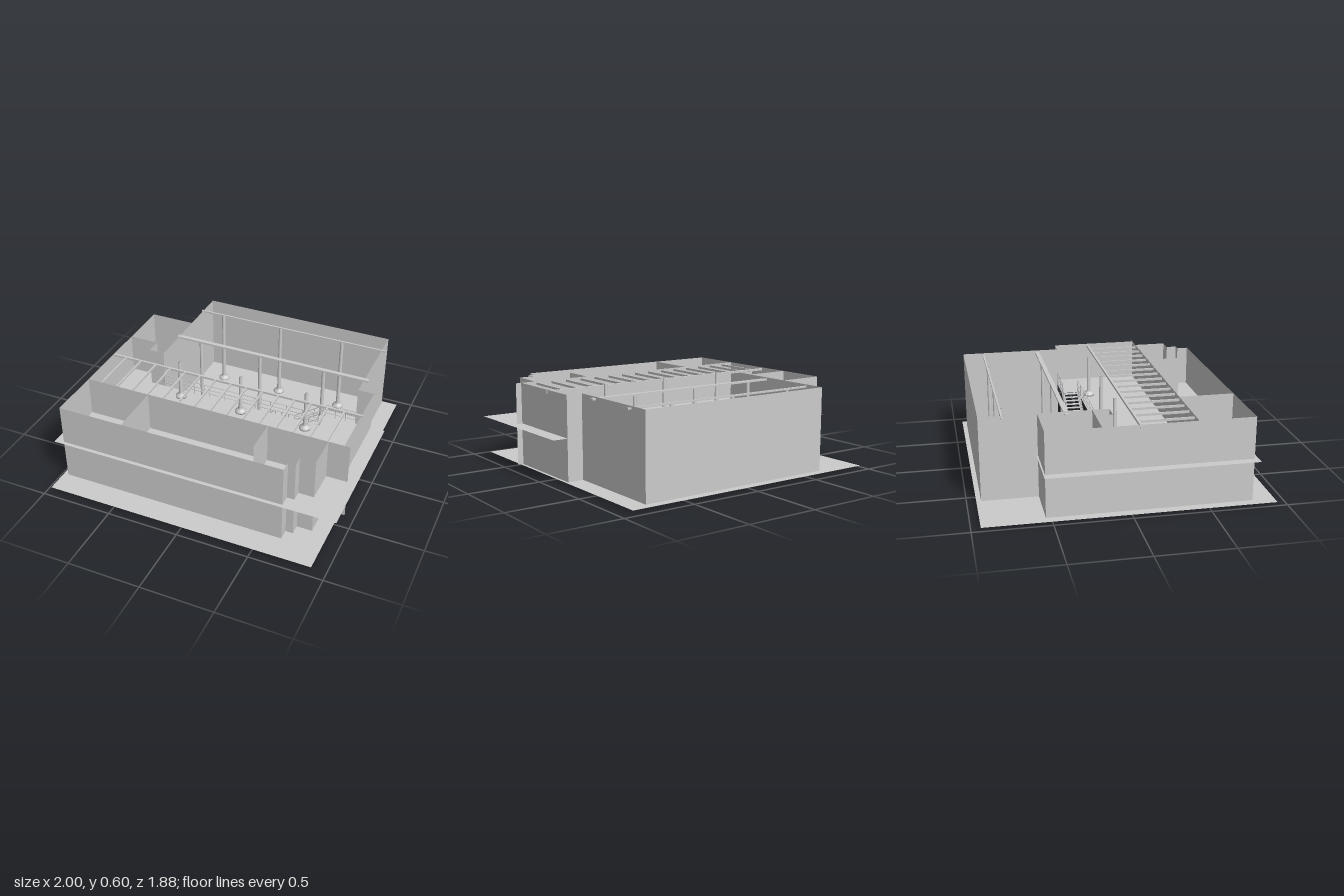
import * as THREE from 'three';

const BASE = 0.015, FLOOR = 0.31, WALL0 = 0.025, WALL1 = 0.59;

export function createModel() {
  const root = new THREE.Group();
  const solid = new THREE.MeshStandardMaterial({ color: 0xcccccc });
  const thin = new THREE.MeshStandardMaterial({ color: 0xcccccc, side: THREE.DoubleSide });

  const group = (name) => {
    const g = new THREE.Group();
    g.name = name;
    root.add(g);
    return g;
  };
  const add = (parent, name, geo, mat = solid) => {
    const m = new THREE.Mesh(geo, mat);
    m.name = name;
    parent.add(m);
    return m;
  };
  const box = (parent, name, w, h, d, x, y, z) =>
    add(parent, name, new THREE.BoxGeometry(w, h, d)).position.set(x, y, z);
  // Flat horizontal sheet from an (x, z) outline
  const sheet = (name, pts, y) => {
    const s = new THREE.Shape(pts.map(([x, z]) => new THREE.Vector2(x, z)));
    const m = add(root, name, new THREE.ShapeGeometry(s), thin);
    m.rotation.x = Math.PI / 2;
    m.position.y = y;
  };
  // Thin upright panels along an (x, z) path
  const walls = (parent, name, path, y0 = WALL0, y1 = WALL1, mat = thin) => {
    for (let i = 0; i + 1 < path.length; i++) {
      const [x1, z1] = path[i], [x2, z2] = path[i + 1];
      const m = add(parent, name, new THREE.PlaneGeometry(Math.hypot(x2 - x1, z2 - z1), y1 - y0), mat);
      m.position.set((x1 + x2) / 2, (y0 + y1) / 2, (z1 + z2) / 2);
      m.rotation.y = -Math.atan2(z2 - z1, x2 - x1);
    }
  };
  // Slim round bar between two points
  const bar = (parent, name, a, b, r = 0.003) => {
    const p = new THREE.Vector3(...a), q = new THREE.Vector3(...b);
    const m = add(parent, name, new THREE.CylinderGeometry(r, r, p.distanceTo(q), 6));
    m.position.copy(p).add(q).multiplyScalar(0.5);
    m.quaternion.setFromUnitVectors(new THREE.Vector3(0, 1, 0), q.sub(p).normalize());
  };

  // Ground and upper floor, the latter cut back around the hall and stair
  sheet('ground', [[-0.98, -0.94], [0.9, -0.94], [0.9, 0.94], [-0.98, 0.94]], BASE);
  sheet('upperFloor', [[-1, -0.55], [-0.62, -0.55], [-0.62, -0.08], [0.57, -0.08],
    [0.57, -0.2], [1, -0.2], [1, 0.81], [-1, 0.81]], FLOOR);

  // Outer walls with the stepped front corner
  const outer = group('outerWalls');
  walls(outer, 'frontWall', [[-0.94, 0.785], [0.64, 0.785], [0.64, 0.71], [0.69, 0.71],
    [0.69, 0.64], [0.795, 0.64], [0.795, 0.415]]);
  walls(outer, 'sideWall', [[-0.94, 0.785], [-0.94, -0.54], [-0.62, -0.54]]);
  walls(outer, 'hallWall', [[-0.62, -0.08], [-0.62, -0.91], [0.79, -0.91], [0.79, -0.2], [0.9, -0.2]]);
  walls(outer, 'leftWallUpper', [[0.9, 0.415], [0.9, -0.2]], FLOOR, WALL1);
  walls(outer, 'leftWallLower', [[0.9, 0.415], [0.9, -0.2]], WALL0, FLOOR, solid);

  // Inner partitions
  const inner = group('partitions');
  walls(inner, 'longPartition', [[-0.94, 0.415], [0.94, 0.415]]);
  walls(inner, 'roomPartition', [[-0.48, 0.415], [-0.48, 0.785]]);
  walls(inner, 'shortPartition', [[0.385, 0.415], [0.385, 0.65]]);
  walls(inner, 'sideRoomPartition', [[-0.94, -0.19], [-0.62, -0.19]]);
  walls(inner, 'closetPartition', [[-0.73, -0.19], [-0.73, -0.08], [-0.62, -0.08]]);

  // Roof beams and joists
  const roof = group('roofBeams');
  box(roof, 'rearBeam', 1.455, 0.012, 0.012, 0.0875, 0.575, -0.76);
  box(roof, 'middleBeam', 1.455, 0.012, 0.03, 0.0875, 0.575, -0.355);
  box(roof, 'frontBeam', 1.855, 0.015, 0.015, -0.02, 0.575, 0.055);
  for (let i = 0; i < 15; i++)
    box(roof, 'joist', 0.01, 0.015, 0.35, -0.845 + i * 0.1161, 0.575, 0.237);

  // Columns with flared feet; the front row stands on the upper floor
  const columns = group('columns');
  for (const [z, y0, y1] of [[-0.75, 0.012, 0.575], [-0.355, 0.012, 0.575], [-0.01, FLOOR, 0.598]])
    for (const x of [-0.455, 0.01, 0.49]) {
      const profile = [[0, 0], [0.04, 0], [0.04, 0.012], [0.028, 0.025], [0.014, 0.04],
        [0.012, y1 - y0], [0, y1 - y0]].map(([r, y]) => new THREE.Vector2(r, y));
      add(columns, 'column', new THREE.LatheGeometry(profile, 20), thin).position.set(x, y0, z);
    }

  // Stair: two flights with a landing between
  const stair = group('stair');
  const MID = 0.1625, zc = -0.14, N = 8;
  const flights = [[0, 0.2, BASE, MID], [0.35, 0.56, MID, FLOOR]];
  for (const [x0, x1, y0, y1] of flights)
    for (let i = 0; i < N; i++)
      box(stair, 'tread', (x1 - x0) / N, 0.004, 0.11,
        x0 + (x1 - x0) * (i + 0.5) / N, y0 + (y1 - y0) * (i + 1) / N - 0.002, zc);
  box(stair, 'landing', 0.15, 0.005, 0.11, 0.275, MID - 0.003, zc);

  // Stringers and handrails on both sides of the stair
  const line = [[0.01, BASE], [0.2, MID], [0.35, MID], [0.56, FLOOR]];
  for (const z of [-0.197, -0.083]) {
    for (let i = 0; i < 3; i++) {
      const [xa, ya] = line[i], [xb, yb] = line[i + 1];
      bar(stair, 'stringer', [xa, ya, z], [xb, yb, z], 0.005);
      for (const h of [0.05, 0.09]) bar(stair, 'handrail', [xa, ya + h, z], [xb, yb + h, z]);
      for (let k = 0; k < 3; k++) {
        const t = k / 3, x = xa + (xb - xa) * t, y = ya + (yb - ya) * t;
        bar(stair, 'railPost', [x, i + k ? y : 0, z], [x, y + 0.09, z]);
      }
    }
    bar(stair, 'railPost', [0.56, FLOOR, z], [0.56, FLOOR + 0.09, z]);
  }

  // Railings along the open edges of the upper floor
  const railing = group('balustrade');
  for (const [x0, x1, z, n] of [[-0.62, 0.56, -0.08, 10], [0.57, 0.79, -0.2, 3]]) {
    for (const h of [0.03, 0.06, 0.095])
      bar(railing, 'rail', [x0, FLOOR + h, z], [x1, FLOOR + h, z]);
    for (let i = 0; i <= n; i++) {
      const x = x0 + (x1 - x0) * i / n;
      bar(railing, 'post', [x, FLOOR, z], [x, FLOOR + 0.095, z]);
    }
  }
  return root;
}
